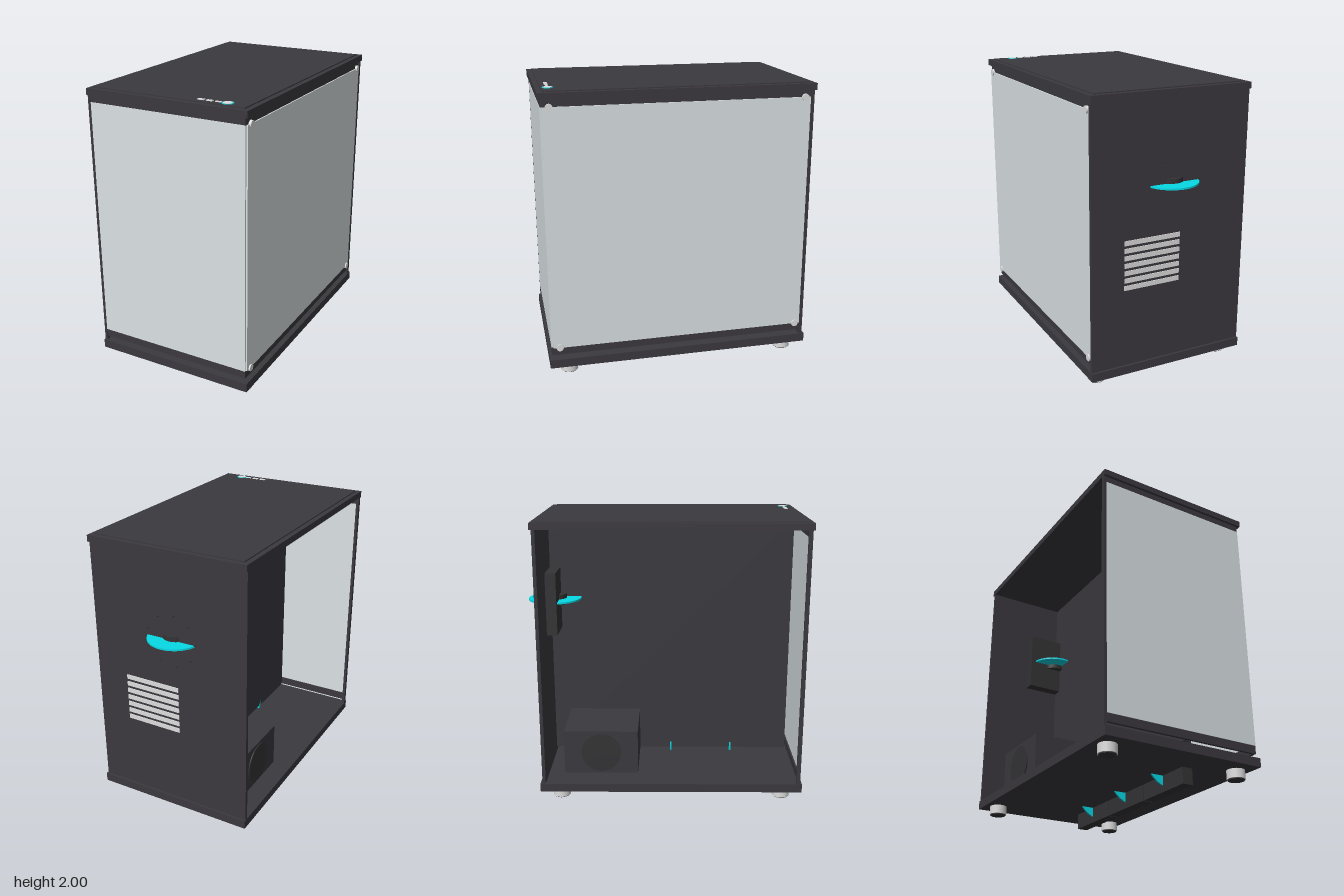
import * as THREE from 'three';

const mat = (name, color) => {
  const m = new THREE.MeshStandardMaterial({ color });
  m.name = name;
  return m;
};

export function createModel() {
  const model = new THREE.Group();
  model.name = 'computerCase';
  const dark = mat('charcoal', 0x3b393f);
  const black = mat('black', 0x343436);
  const glass = mat('glass', 0xdbe2e5);
  const metal = mat('lightMetal', 0xdededf);
  const cyan = mat('cyan', 0x06dae6);

  const add = (name, geo, material, parent = model) => {
    const m = new THREE.Mesh(geo, material);
    m.name = name;
    parent.add(m);
    return m;
  };
  // Box given by its min and max on each axis
  const box = (name, material, [x0, x1], [y0, y1], [z0, z1], parent) => {
    const m = add(name, new THREE.BoxGeometry(x1 - x0, y1 - y0, z1 - z0), material, parent);
    m.position.set((x0 + x1) / 2, (y0 + y1) / 2, (z0 + z1) / 2);
    return m;
  };
  // Cylinder whose axis runs along x, y or z
  const disc = (name, material, r, h, axis, pos, parent) => {
    const m = add(name, new THREE.CylinderGeometry(r, r, h, 32), material, parent);
    if (axis === 'x') m.rotation.z = Math.PI / 2;
    if (axis === 'z') m.rotation.x = Math.PI / 2;
    m.position.set(...pos);
    return m;
  };

  // Shell: base, top with raised inset, rear wall, inner tray
  box('basePlate', dark, [-0.572, 0.572], [0.11, 0.17], [-0.86, 0.97]);
  box('topPlate', dark, [-0.572, 0.572], [1.943, 1.987], [-0.86, 0.97]);
  box('topInset', dark, [-0.537, 0.537], [1.987, 1.994], [-0.825, 0.935]);
  box('rearWall', dark, [-0.57, 0.567], [0.17, 1.943], [-0.845, -0.822]);
  box('innerTray', dark, [0.014, 0.03], [0.2, 1.943], [-0.822, 0.925]);
  box('frontPost', dark, [-0.572, -0.552], [0.17, 1.943], [0.93, 0.957]);

  // Rails above and below the glass
  for (const y of [[0.2, 0.257], [1.895, 1.943]]) {
    box('frontRail', dark, [-0.552, 0.553], y, [0.935, 0.954]);
    box('sideRail', dark, [0.538, 0.555], y, [-0.822, 0.935]);
  }

  // Glass panes and their round clamps
  box('frontGlass', glass, [-0.552, 0.553], [0.254, 1.897], [0.945, 0.957]);
  box('sideGlass', glass, [0.55, 0.563], [0.254, 1.897], [-0.822, 0.945]);
  for (const y of [0.257, 1.894])
    for (const z of [0.9, -0.785]) disc('glassClamp', metal, 0.024, 0.022, 'x', [0.561, y, z]);

  // Feet with dark pads
  for (const x of [-0.475, 0.477])
    for (const z of [0.835, -0.722]) {
      disc('foot', metal, 0.06, 0.062, 'y', [x, 0.081, z]);
      disc('footPad', black, 0.054, 0.006, 'y', [x, 0.047, z]);
    }

  // Fan: square frame facing z by default, or facing x when sideways,
  // with its rotor turned across the frame
  const fan = (name, pos, sideways) => {
    const g = new THREE.Group();
    g.name = name;
    const frame = box('fanFrame', black, [-0.221, 0.221], [-0.221, 0.221], [-0.038, 0.038], g);
    const axis = sideways ? 'z' : 'y';
    if (sideways) frame.rotation.y = Math.PI / 2;
    disc('fanRotor', cyan, 0.188, 0.012, axis, [sideways ? 0.025 : 0, 0, 0], g);
    disc('fanHub', black, 0.085, 0.075, axis, [0, 0, 0], g);
    g.position.set(...pos);
    model.add(g);
  };
  for (const z of [0.508, 0.055, -0.396]) fan('lowerFan', [0.175, 0.221, z], true);
  fan('rearFan', [-0.025, 1.378, -0.785], false);

  // Ring of small studs around the rear fan
  for (let i = 0; i < 9; i++) {
    const a = Math.PI / 10 + (i / 9) * Math.PI * 2;
    disc('rearStud', black, 0.007, 0.008, 'z',
      [-0.025 + Math.cos(a) * 0.18, 1.378 + Math.sin(a) * 0.18, -0.847]);
  }

  // Expansion slot covers
  for (let i = 0; i < 7; i++) {
    const y = 0.708 + i * 0.051;
    box('slotCover', metal, [-0.07, 0.335], [y, y + 0.032], [-0.85, -0.844]);
  }

  // Power supply with a round fan grille
  box('powerSupply', dark, [-0.45, 0.014], [0.2, 0.513], [-0.7, -0.18]);
  disc('powerSupplyFan', black, 0.14, 0.008, 'x', [-0.453, 0.355, -0.44]);

  // Top controls: power button with lit ring, and ports
  disc('buttonRing', cyan, 0.037, 0.004, 'y', [0.402, 1.995, 0.89]);
  disc('powerButton', metal, 0.03, 0.006, 'y', [0.402, 1.996, 0.89]);
  box('widePort', metal, [0.2, 0.245], [1.993, 1.998], [0.879, 0.903]);
  box('widePort', metal, [0.26, 0.303], [1.993, 1.998], [0.879, 0.903]);
  box('slimPort', metal, [0.32, 0.362], [1.993, 1.998], [0.883, 0.899]);

  return model;
}
